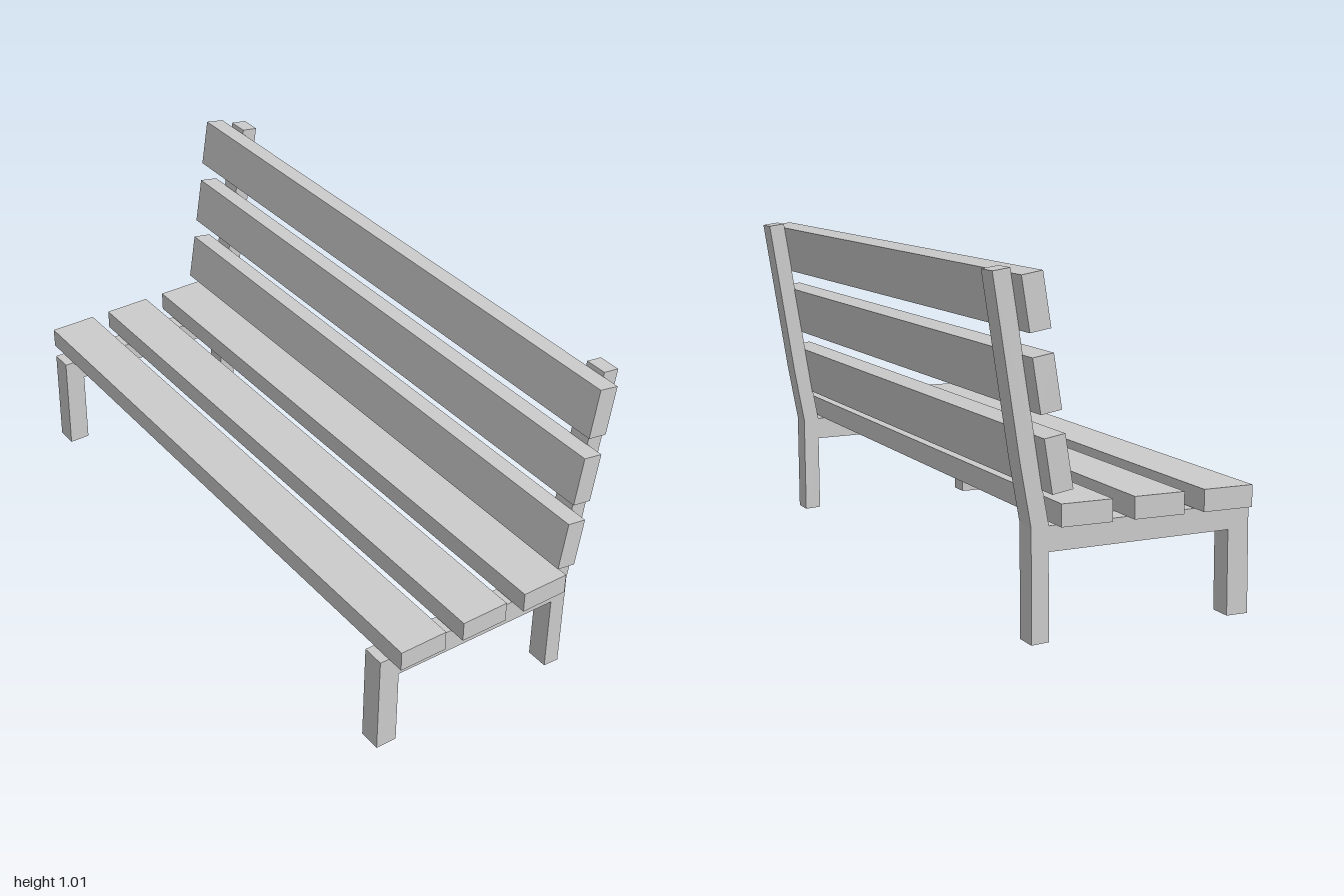
import * as THREE from 'three';

export function createModel() {
  const bench = new THREE.Group();
  bench.name = 'bench';
  const material = new THREE.MeshStandardMaterial({ color: 0xcccccc, flatShading: true });

  function add(name, geometry, x, y, z, tilt = 0) {
    const mesh = new THREE.Mesh(geometry, material);
    mesh.name = name;
    mesh.position.set(x, y, z);
    mesh.rotation.z = tilt;
    bench.add(mesh);
  }

  // End frame outline: front leg, seat rail, bent back upright and rear leg
  const outline = [
    [-0.397, 0.01], [-0.33, 0.01], [-0.328, 0.257], [0.228, 0.251],
    [0.226, 0.003], [0.278, 0], [0.28, 0.32], [0.313, 0.497],
    [0.394, 1.004], [0.343, 1.011], [0.262, 0.5], [0.228, 0.322],
    [-0.25, 0.328], [-0.393, 0.33],
  ].map(([x, y]) => new THREE.Vector2(x, y));
  const frame = new THREE.ExtrudeGeometry(new THREE.Shape(outline), {
    depth: 0.07, bevelEnabled: false,
  });
  add('leftEndFrame', frame, 0, 0, 0.874);
  add('rightEndFrame', frame, 0, 0, -0.938);

  // Seat slats
  const seatSlat = new THREE.BoxGeometry(0.153, 0.063, 2);
  [-0.288, -0.073, 0.146].forEach((x, i) => add(`seatSlat${i + 1}`, seatSlat, x, 0.362, 0));

  // Back slats, leaning with the uprights
  const backSlat = new THREE.BoxGeometry(0.062, 0.152, 2);
  [[0.231, 0.5], [0.266, 0.713], [0.2985, 0.927]].forEach(([x, y], i) =>
    add(`backSlat${i + 1}`, backSlat, x, y, 0, -0.163));

  return bench;
}
